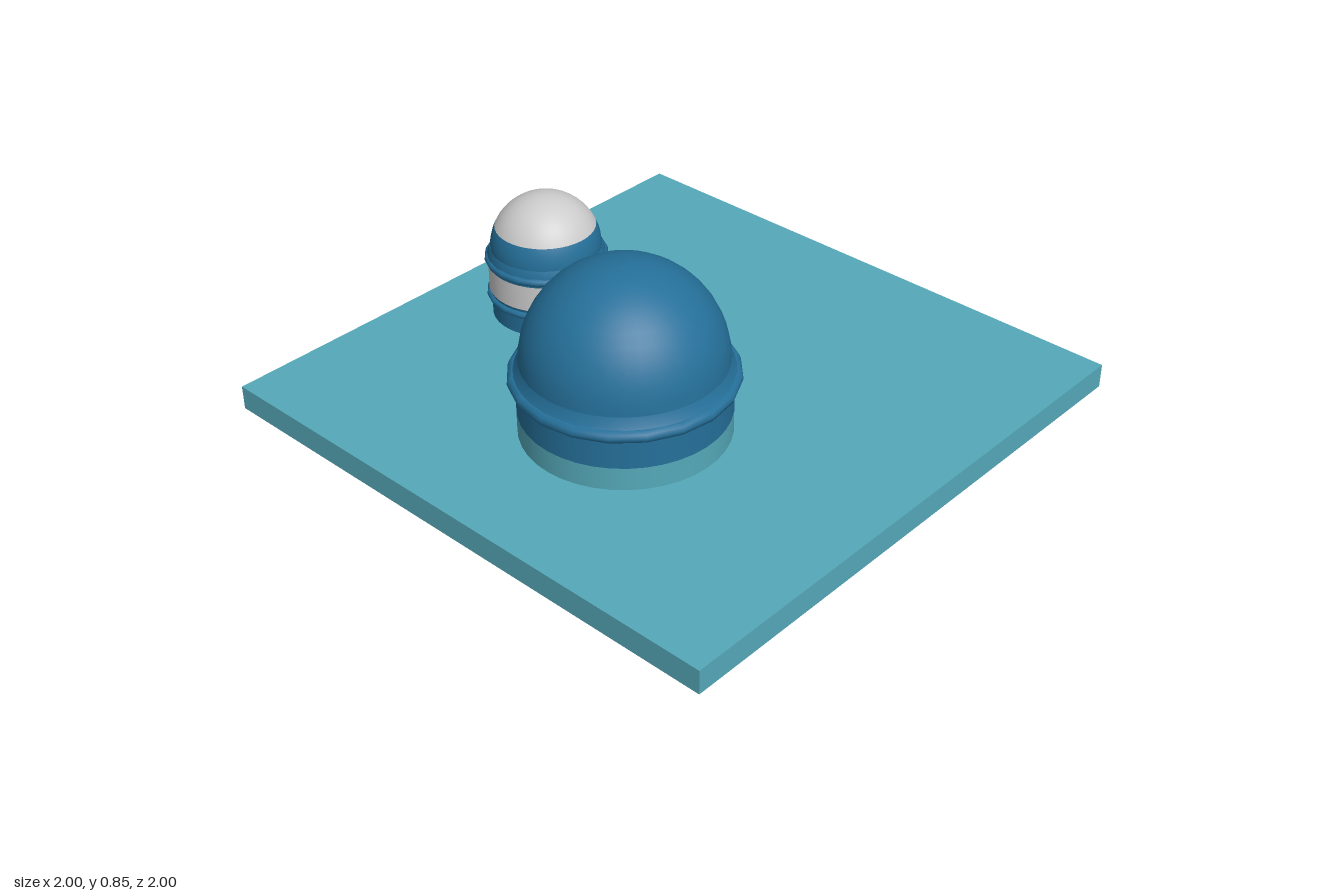
import * as THREE from 'three';

const material = (color) => new THREE.MeshStandardMaterial({ color, side: THREE.DoubleSide });
const light = material(0x55a9b9);
const dark = material(0x25709a);
const grey = material(0xcccccc);

function add(parent, name, geometry, mat, y = 0) {
  const mesh = new THREE.Mesh(geometry, mat);
  mesh.name = name;
  mesh.position.y = y;
  parent.add(mesh);
  return mesh;
}

// Turned wall from [radius, height] pairs, bottom to top
const turned = (profile) =>
  new THREE.LatheGeometry(profile.map(([r, y]) => new THREE.Vector2(r, y)), 40);

// Rounded moulding lying flat around a tower
const moulding = (radius, tube) => new THREE.TorusGeometry(radius, tube, 10, 20).rotateX(Math.PI / 2);

// Slice of a hemisphere between two heights above its centre
function domeSlice(radius, from, to) {
  const a = Math.asin(from / radius);
  const b = Math.asin(to / radius);
  const profile = [];
  for (let i = 0; i <= 12; i++) {
    const t = a + (b - a) * i / 12;
    profile.push([Math.max(0, radius * Math.cos(t)), radius * Math.sin(t)]);
  }
  return turned(profile);
}

export function createModel() {
  const model = new THREE.Group();

  // Square base plate
  add(model, 'basePlate', new THREE.BoxGeometry(2, 0.085, 2), light, 0.2225);

  // Large domed tower passing through the plate
  const large = new THREE.Group();
  large.name = 'largeTower';
  large.position.set(0.07, 0, 0.31);
  model.add(large);
  add(large, 'bottomCap', new THREE.CircleGeometry(0.34, 40).rotateX(Math.PI / 2), light);
  add(large, 'lowerLightBand', turned([[0.34, 0], [0.337, 0.015], [0.332, 0.045], [0.332, 0.107]]), light);
  add(large, 'lowerDarkBand', turned([[0.332, 0.107], [0.336, 0.22]]), dark);
  add(large, 'upperLightBand', turned([[0.343, 0.22], [0.343, 0.345]]), light);
  add(large, 'upperDarkBand', turned([[0.343, 0.345], [0.343, 0.46]]), dark);
  add(large, 'moulding', moulding(0.347, 0.023), dark, 0.467);
  add(large, 'domeSkirt', turned([[0.355, 0.48], [0.342, 0.498], [0.332, 0.525]]), dark);
  add(large, 'dome', domeSlice(0.332, 0, 0.332), dark, 0.52);

  // Small striped tower standing on the plate
  const small = new THREE.Group();
  small.name = 'smallTower';
  small.position.set(-0.615, 0, -0.02);
  model.add(small);
  add(small, 'lowerDarkBand', turned([[0.192, 0.23], [0.192, 0.34], [0.2, 0.367]]), dark);
  add(small, 'greyBand', turned([[0.2, 0.367], [0.2, 0.46]]), grey);
  add(small, 'lowerMoulding', moulding(0.196, 0.013), dark, 0.344);
  add(small, 'upperMoulding', moulding(0.196, 0.016), dark, 0.48);
  add(small, 'domeSkirt', turned([[0.2, 0.46], [0.203, 0.49], [0.192, 0.52]]), dark);
  add(small, 'domeBand', domeSlice(0.19, 0, 0.08), dark, 0.515);
  add(small, 'domeCap', domeSlice(0.19, 0.08, 0.19), grey, 0.515);

  return model;
}
